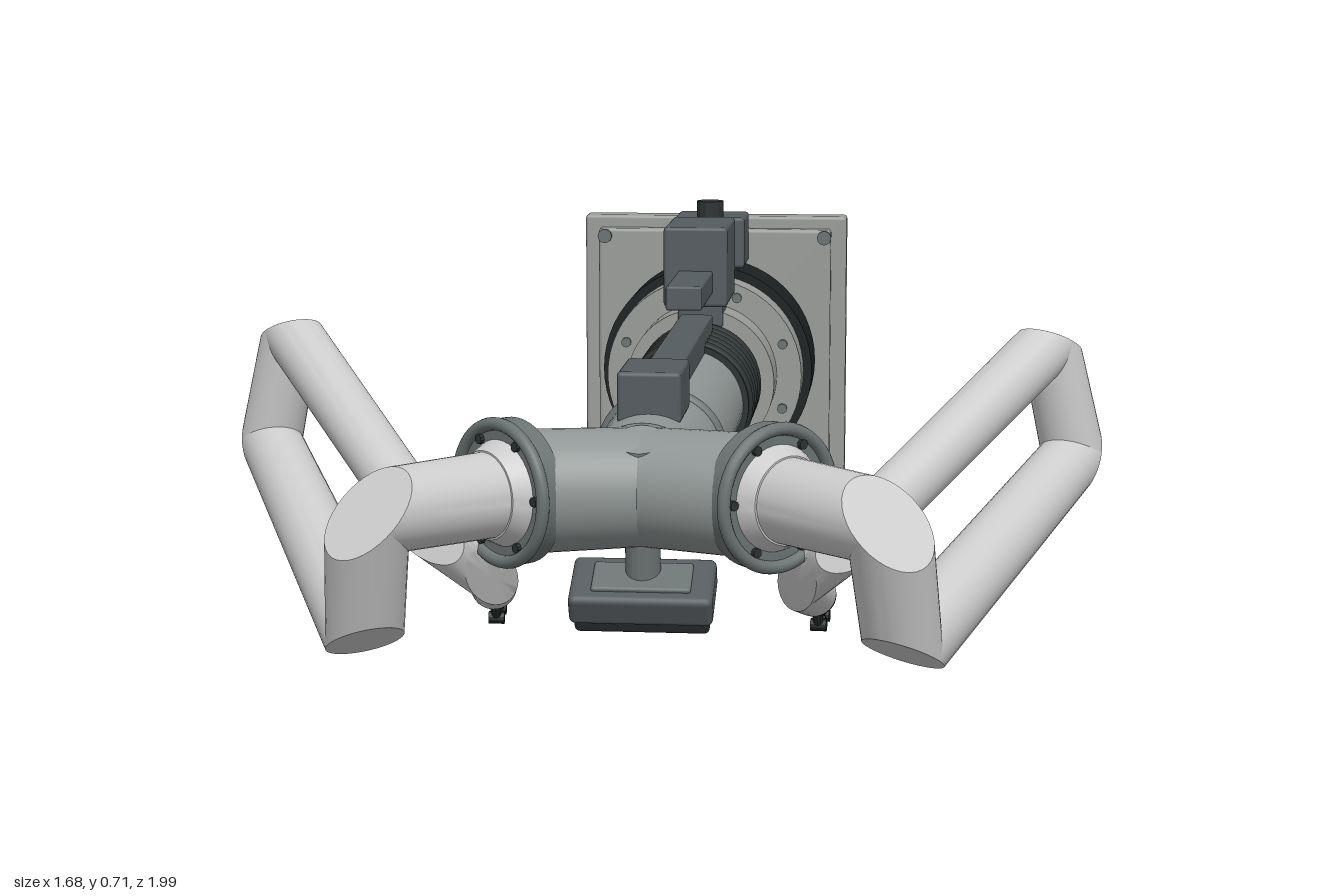
import * as THREE from 'three';
import { toCreasedNormals } from 'three/addons/utils/BufferGeometryUtils.js';
import { RoundedBoxGeometry } from 'three/addons/geometries/RoundedBoxGeometry.js';

const V = (x, y, z) => new THREE.Vector3(x, y, z);
const mat = (color) => new THREE.MeshStandardMaterial({ color });
const PLATE = mat(0x9a9d9a), BODY = mat(0x8f9594), RING = mat(0x6b7473), BOX = mat(0x555c60);
const DARK = mat(0x2c3233), DRUM = mat(0x1b2020), ARM = mat(0xcccccc), LENS = mat(0x1f5558);
const AXIS = 0.337; // height of the main column

function add(parent, name, geo, material, x = 0, y = 0, z = 0) {
  const m = new THREE.Mesh(geo, material);
  m.name = name;
  m.position.set(x, y, z);
  parent.add(m);
  return m;
}

const box = (p, name, m, w, h, d, x, y, z, r = 0.008) =>
  add(p, name, new RoundedBoxGeometry(w, h, d, 2, r), m, x, y, z);

// Cylinder between two points; n0 and n1 are optional normals of slanted end cuts
function rod(parent, name, material, a, b, r0, r1 = r0, n0 = null, n1 = null, sides = 36) {
  const d = b.clone().sub(a), len = d.length();
  d.normalize();
  const geo = new THREE.CylinderGeometry(r1, r0, len, sides);
  geo.translate(0, len / 2, 0);
  geo.applyQuaternion(new THREE.Quaternion().setFromUnitVectors(V(0, 1, 0), d));
  const pos = geo.attributes.position, v = V(0, 0, 0);
  for (let i = 0; i < pos.count; i++) {
    v.fromBufferAttribute(pos, i);
    const t = v.dot(d), top = t > len / 2, n = top ? n1 : n0;
    if (n) {
      const radial = v.clone().addScaledVector(d, -t);
      v.addScaledVector(d, -n.dot(radial) / n.dot(d));
      pos.setXYZ(i, v.x, v.y, v.z);
    }
  }
  return add(parent, name, toCreasedNormals(geo, 0.6), material, a.x, a.y, a.z);
}

// Cylinder along z on the column axis
const drum = (p, name, m, r, z0, z1) => rod(p, name, m, V(0, AXIS, z0), V(0, AXIS, z1), r, r, null, null, 56);

function ring(parent, name, material, r, tube, c, dir, sides = 48) {
  const m = add(parent, name, new THREE.TorusGeometry(r, tube, 12, sides), material, c.x, c.y, c.z);
  m.quaternion.setFromUnitVectors(V(0, 0, 1), dir.clone().normalize());
  return m;
}

function createBase() {
  const g = new THREE.Group();
  g.name = 'base';
  box(g, 'mountingPlate', PLATE, 0.61, 0.665, 0.065, 0, 0.3325, -0.9675);
  box(g, 'plateLip', PLATE, 0.54, 0.61, 0.04, 0, 0.3325, -0.918);
  for (const sx of [-1, 1]) for (const y of [0.045, 0.62])
    rod(g, 'plateBolt', RING, V(sx * 0.255, y, -0.9), V(sx * 0.255, y, -0.888), 0.016);
  drum(g, 'rearHub', BODY, 0.2, -0.91, -0.87);
  drum(g, 'darkDrum', DRUM, 0.237, -0.878, -0.718);
  drum(g, 'flange', PLATE, 0.218, -0.72, -0.632);
  drum(g, 'collar', PLATE, 0.163, -0.64, -0.53);
  for (let i = 0; i < 8; i++) {
    const a = (i + 0.5) * Math.PI / 4, x = 0.19 * Math.cos(a), y = AXIS + 0.19 * Math.sin(a);
    rod(g, 'flangeBolt', RING, V(x, y, -0.634), V(x, y, -0.624), 0.011, 0.011, null, null, 12);
  }
  // Rear connector box with its knob
  box(g, 'connectorBox', BOX, 0.16, 0.115, 0.155, 0, 0.622, -0.828);
  rod(g, 'connectorKnob', DARK, V(0, 0.67, -0.782), V(0, 0.715, -0.782), 0.03);
  return g;
}

function createColumn() {
  const g = new THREE.Group();
  g.name = 'column';
  drum(g, 'mainTube', BODY, 0.116, -0.26, 0.66);
  drum(g, 'bellowsCore', DARK, 0.112, -0.54, -0.23);
  for (let i = 0; i < 6; i++)
    ring(g, 'bellowsRing', DARK, 0.115, 0.021, V(0, AXIS, -0.258 - i * 0.05), V(0, 0, 1));
  drum(g, 'bellowsEnd', DARK, 0.128, -0.245, -0.228);
  ring(g, 'tubeBand', RING, 0.114, 0.013, V(0, AXIS, 0.322), V(0, 0, 1));
  // Rails and housings along the top
  box(g, 'lowerRail', BOX, 0.07, 0.07, 0.9, 0, 0.467, 0.02, 0.005);
  box(g, 'frontHousing', BOX, 0.118, 0.095, 0.18, 0, 0.482, 0.475);
  box(g, 'upperRail', BOX, 0.075, 0.05, 0.3, 0, 0.575, -0.278, 0.005);
  box(g, 'motorHousing', BOX, 0.137, 0.172, 0.235, 0, 0.608, -0.512);
  box(g, 'motorFoot', BOX, 0.1, 0.08, 0.12, 0, 0.5, -0.58);
  // Hub cap on the front crossbar
  rod(g, 'hubCap', BODY, V(0, 0.37, 0.68), V(0, 0.432, 0.708), 0.045);
  return g;
}

function createSensorHead() {
  const g = new THREE.Group();
  g.name = 'sensorHead';
  rod(g, 'neck', RING, V(0, 0.27, 0.67), V(0, 0.15, 0.66), 0.032);
  const head = new THREE.Group();
  head.name = 'head';
  head.position.set(0, 0.138, 0.66);
  head.rotation.x = 0.45;
  g.add(head);
  box(head, 'headShell', BOX, 0.26, 0.06, 0.13, 0, 0.008, 0, 0.012);
  box(head, 'headFace', DARK, 0.245, 0.035, 0.11, 0, -0.03, 0, 0.01);
  box(head, 'headTopPanel', RING, 0.18, 0.014, 0.08, 0, 0.038, 0, 0.005);
  for (const x of [-0.08, 0, 0.08]) {
    rod(head, 'lensBarrel', DRUM, V(x, -0.04, 0), V(x, -0.06, 0), 0.033);
    rod(head, 'lens', LENS, V(x, -0.058, 0), V(x, -0.064, 0), 0.024);
  }
  return g;
}

// Two jointed fingers on a dark wrist, pointing along dir
function createGripper(at, dir) {
  const g = new THREE.Group();
  g.name = 'gripper';
  g.position.copy(at);
  g.quaternion.setFromUnitVectors(V(0, 0, -1), dir);
  rod(g, 'wristBand', DARK, V(0, 0, 0.01), V(0, 0, -0.025), 0.04);
  rod(g, 'gripperBody', DRUM, V(0, 0, -0.02), V(0, 0, -0.06), 0.032, 0.024);
  box(g, 'palm', DARK, 0.034, 0.065, 0.026, 0, 0, -0.064, 0.004);
  for (const s of [-1, 1]) {
    const k = [V(0, s * 0.024, -0.06), V(0, s * 0.05, -0.095), V(0, s * 0.028, -0.14), V(0, s * 0.014, -0.16)];
    for (let i = 0; i < 3; i++) rod(g, 'fingerLink', DARK, k[i], k[i + 1], 0.011, 0.009, null, null, 10);
    for (const p of k.slice(0, 3))
      rod(g, 'fingerPivot', DRUM, p.clone().setX(-0.015), p.clone().setX(0.015), 0.012, 0.012, null, null, 12);
  }
  return g;
}

function createArm(s) {
  const g = new THREE.Group();
  g.name = s > 0 ? 'leftArm' : 'rightArm';
  const shoulder = V(s * 0.235, AXIS, 0.728), out = V(s * 0.69, 0, 0.72).normalize();
  const at = (t) => shoulder.clone().addScaledVector(out, t);
  // Half crossbar and shoulder flange
  rod(g, 'crossbar', BODY, V(0, AXIS, 0.66), at(0), 0.108, 0.112, V(s, 0, 0), out, 48);
  rod(g, 'shoulderFlange', RING, at(-0.022), at(0.018), 0.132, 0.132, null, null, 48);
  ring(g, 'flangeRim', RING, 0.124, 0.012, at(0.018), out);
  rod(g, 'shoulderCollar', ARM, at(0.01), at(0.05), 0.1, 0.08);
  for (let i = 0; i < 6; i++) {
    const a = i * Math.PI / 3, side = V(-out.z, 0, out.x).multiplyScalar(0.105 * Math.cos(a));
    const p = at(0.014).add(side).add(V(0, 0.105 * Math.sin(a), 0));
    rod(g, 'flangeBolt', DARK, p, p.clone().addScaledVector(out, 0.012), 0.009, 0.009, null, null, 10);
  }
  // Links meet at flat slanted elbow caps: both tubes are cut by one plane
  const joints = [
    [0.235, AXIS, 0.728, 0.078], [0.445, AXIS, 0.937, 0.074], [0.472, 0.09, 0.855, 0.069],
    [0.785, 0.325, 0.222, 0.06], [0.735, 0.55, 0.245, 0.056], [0.39, 0.275, 0.72, 0.053],
    [0.277, 0.165, 0.655, 0.047], [0.3, 0.108, 0.495, 0.043],
  ];
  const names = ['shoulderLink', 'upperLink', 'lowerBoom', 'elbowLink', 'upperBoom', 'forearm', 'wrist'];
  const p = joints.map(([x, y, z]) => V(s * x, y, z));
  const dir = names.map((_, i) => p[i + 1].clone().sub(p[i]).normalize());
  const cut = (i) => (i > 0 && i < names.length ? dir[i - 1].clone().sub(dir[i]).normalize() : null);
  names.forEach((name, i) =>
    rod(g, name, ARM, p[i], p[i + 1], joints[i][3], joints[i + 1][3], cut(i), cut(i + 1)));
  g.add(createGripper(p[7], V(s * 0.08, -0.32, -0.94).normalize()));
  return g;
}

export function createModel() {
  const model = new THREE.Group();
  model.name = 'twoArmRobot';
  model.add(createBase(), createColumn(), createSensorHead(), createArm(1), createArm(-1));
  return model;
}
